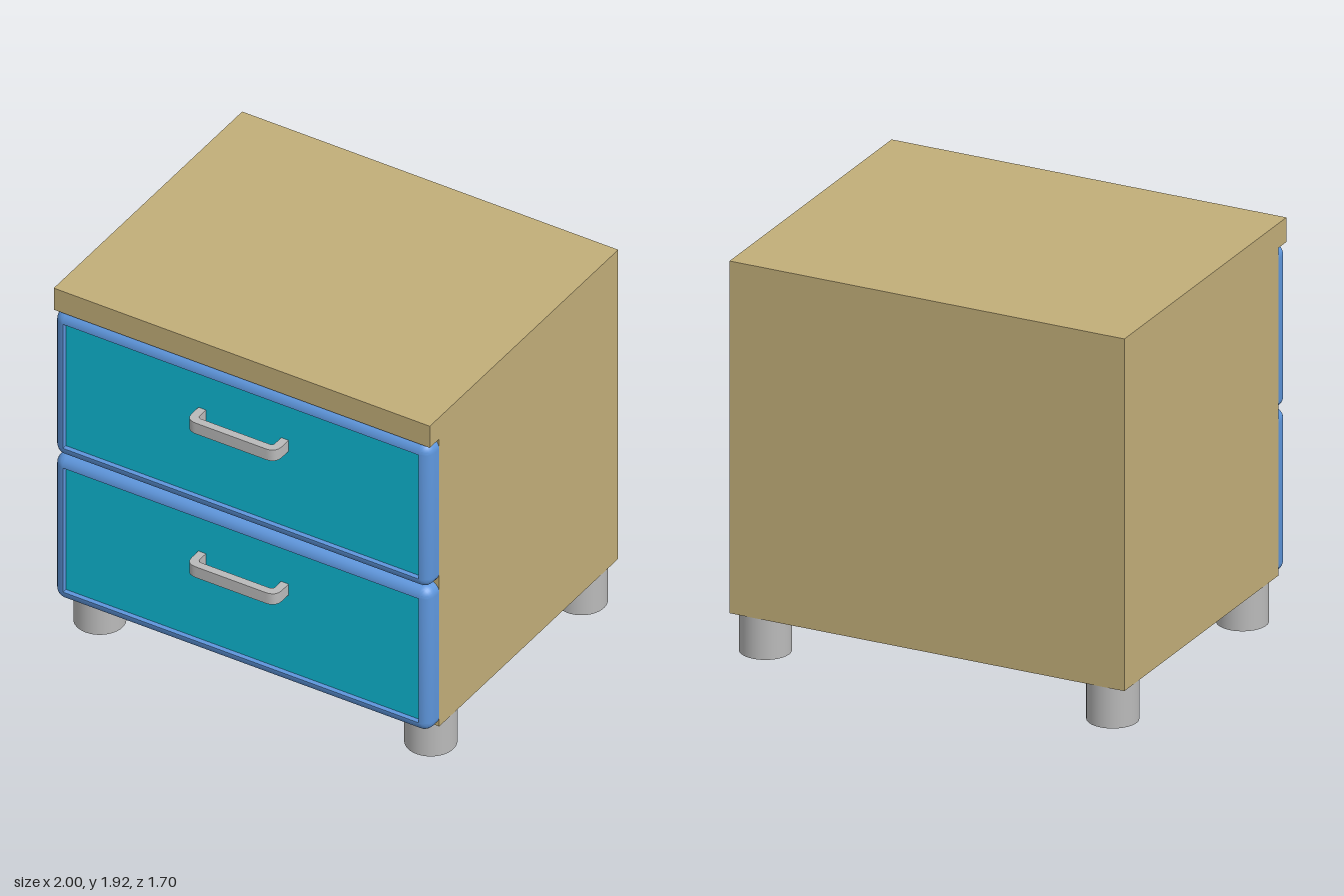
import * as THREE from 'three';
import { toCreasedNormals } from 'three/addons/utils/BufferGeometryUtils.js';

const CREASE = 0.6;
const PANEL_Z = 0.735;
const DRAWER_W = 2, DRAWER_H = 0.8, EDGE = 0.055;

const material = (name, color) => {
  const m = new THREE.MeshStandardMaterial({ color });
  m.name = name;
  return m;
};

function addMesh(parent, name, geometry, mat, x = 0, y = 0, z = 0) {
  const mesh = new THREE.Mesh(geometry, mat);
  mesh.name = name;
  mesh.position.set(x, y, z);
  parent.add(mesh);
  return mesh;
}

// Cabinet with overhanging top: side profile (z, y) extruded across x
function cabinetGeometry() {
  const shape = new THREE.Shape([
    [-0.85, 0.2], [0.67, 0.2], [0.67, 1.8], [0.75, 1.8], [0.75, 1.92], [-0.85, 1.92],
  ].map(([z, y]) => new THREE.Vector2(z, y)));
  return new THREE.ExtrudeGeometry(shape, { depth: 2, bevelEnabled: false })
    .rotateY(-Math.PI / 2).translate(1, 0, 0);
}

// Drawer rim: rounded rectangle rings swept over a rounded edge, then into the recess
function rimGeometry() {
  const profile = [[0, 0.67]];
  for (let i = 0; i <= 8; i++) {
    const a = (i / 8) * Math.PI / 2;
    profile.push([EDGE * (1 - Math.cos(a)), 0.76 - EDGE * (1 - Math.sin(a))]);
  }
  profile.push([EDGE, PANEL_Z]);

  const steps = 8, positions = [], index = [];
  const n = 4 * (steps + 1);
  for (const [inset, z] of profile) {
    for (let c = 0; c < 4; c++) {
      const sx = c === 0 || c === 3 ? 1 : -1;
      const sy = c < 2 ? 1 : -1;
      for (let s = 0; s <= steps; s++) {
        const a = (c + s / steps) * Math.PI / 2;
        const r = EDGE - inset;
        positions.push(
          sx * (DRAWER_W / 2 - EDGE) + r * Math.cos(a),
          sy * (DRAWER_H / 2 - EDGE) + r * Math.sin(a), z);
      }
    }
  }
  for (let k = 0; k < profile.length - 1; k++) {
    for (let i = 0; i < n; i++) {
      const j = (i + 1) % n;
      const a = k * n + i, b = k * n + j;
      index.push(a, b, b + n, a, b + n, a + n);
    }
  }
  const g = new THREE.BufferGeometry();
  g.setAttribute('position', new THREE.Float32BufferAttribute(positions, 3));
  g.setIndex(index);
  return toCreasedNormals(g, CREASE);
}

// Bow handle: U shape in (x, z) with rounded corners, extruded in height
function handleGeometry() {
  const w = 0.24, front = 0.845, t = 0.04, ro = 0.055, ri = 0.02;
  const s = new THREE.Shape();
  s.moveTo(-w, PANEL_Z);
  s.lineTo(-w, front - ro);
  s.quadraticCurveTo(-w, front, -w + ro, front);
  s.lineTo(w - ro, front);
  s.quadraticCurveTo(w, front, w, front - ro);
  s.lineTo(w, PANEL_Z);
  s.lineTo(w - t, PANEL_Z);
  s.lineTo(w - t, front - t - ri);
  s.quadraticCurveTo(w - t, front - t, w - t - ri, front - t);
  s.lineTo(-w + t + ri, front - t);
  s.quadraticCurveTo(-w + t, front - t, -w + t, front - t - ri);
  s.lineTo(-w + t, PANEL_Z);
  s.closePath();
  const g = new THREE.ExtrudeGeometry(s, { depth: 0.06, bevelEnabled: false, curveSegments: 8 });
  return toCreasedNormals(g.rotateX(Math.PI / 2).translate(0, 0.03, 0), CREASE);
}

export function createModel() {
  const model = new THREE.Group();
  model.name = 'nightstand';
  const wood = material('tan wood', 0xc2ae79);
  const blue = material('rim blue', 0x5e96dc);
  const cyan = material('panel cyan', 0x0eb8d4);
  const metal = material('grey metal', 0xbababa);

  addMesh(model, 'cabinet', cabinetGeometry(), wood);

  // Two identical drawers
  const rim = rimGeometry(), handle = handleGeometry();
  const panel = new THREE.BoxGeometry(DRAWER_W - 2 * EDGE, DRAWER_H - 2 * EDGE, PANEL_Z - 0.67);
  [['lowerDrawer', 0.6], ['upperDrawer', 1.4]].forEach(([name, y]) => {
    const drawer = new THREE.Group();
    drawer.name = name;
    drawer.position.y = y;
    addMesh(drawer, 'drawerRim', rim, blue);
    addMesh(drawer, 'drawerPanel', panel, cyan, 0, 0, (PANEL_Z + 0.67) / 2);
    addMesh(drawer, 'handle', handle, metal, 0, 0.11, 0);
    model.add(drawer);
  });

  // Four round feet
  const foot = new THREE.CylinderGeometry(0.12, 0.12, 0.2, 40);
  for (const x of [-0.88, 0.88]) {
    for (const z of [-0.73, 0.55]) addMesh(model, 'foot', foot, metal, x, 0.1, z);
  }
  return model;
}
